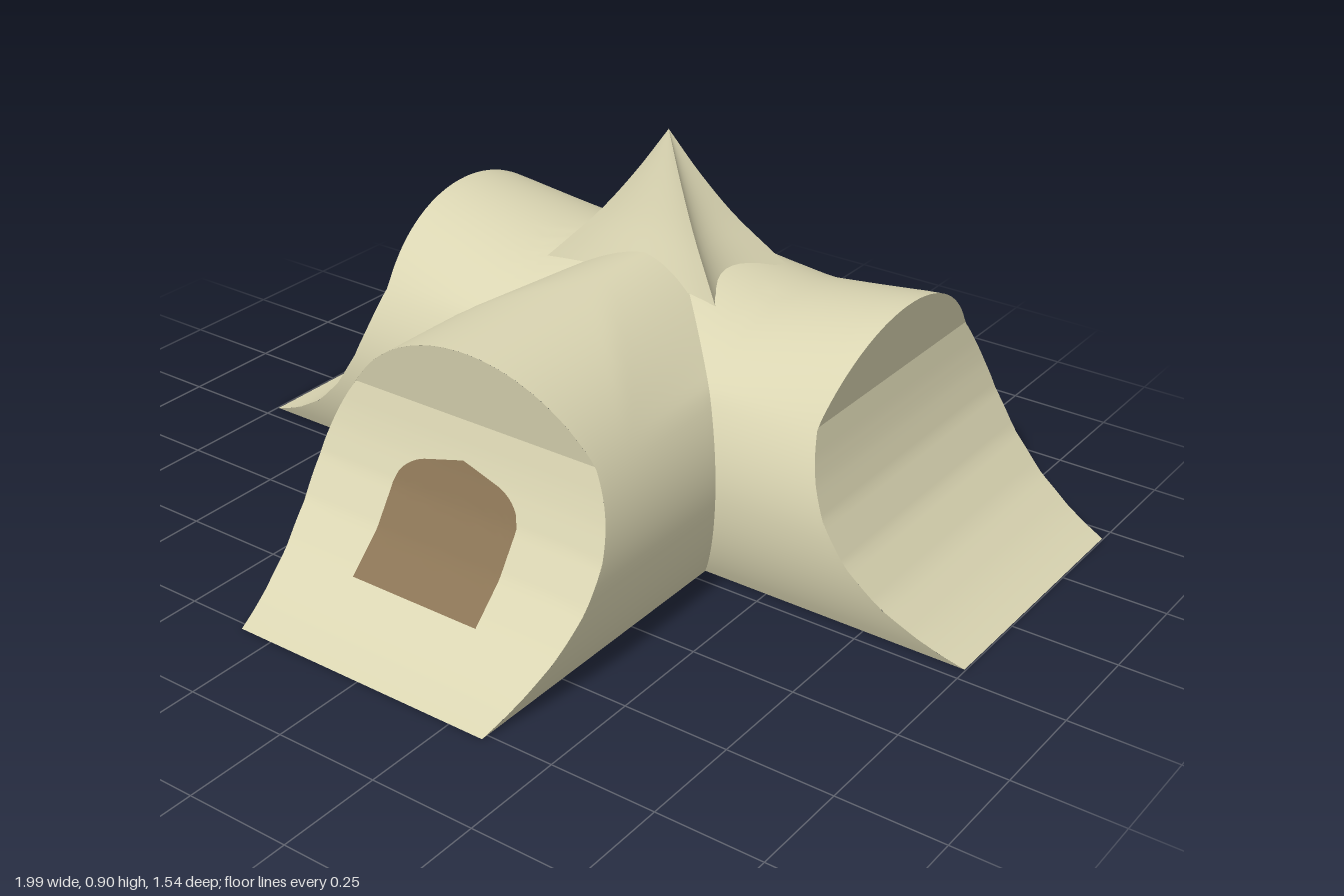
import * as THREE from 'three';

const CZ = -0.375;        // z of the tent's crossing point
const BASE = -0.5495;     // arch angle where the wall meets the ground

// Flared end: distance outward for a height
const FLARE = [[0, 0.767], [0.018, 0.72], [0.045, 0.665], [0.1, 0.577], [0.18, 0.495], [0.27, 0.437],
  [0.34, 0.408], [0.385, 0.393], [0.45, 0.375], [0.625, 0.4]];
function flare(y) {
  for (let i = 1; i < FLARE.length; i++) {
    const [y0, d0] = FLARE[i - 1], [y1, d1] = FLARE[i];
    if (y <= y1) return d0 + (d1 - d0) * (y - y0) / (y1 - y0);
  }
  return 0.4;
}

// Arch cross-section: half width for a height
function halfWidth(y) {
  const k = (y - 0.235) / (y < 0.235 ? 0.45 : 0.39);
  return 0.395 * Math.sqrt(Math.max(0, 1 - k * k));
}

// Fabric of the cross tunnel sags a little between the crossing and its ends
function sag([x, y, z]) {
  const ax = Math.abs(x);
  const dip = ax < 0.3 ? ax / 0.3 : Math.max(0, 1 - (ax - 0.3) / 0.315);
  const fade = THREE.MathUtils.clamp(1 - (z - CZ - ax) / 0.3, 0, 1);
  return [x, y - 0.055 * dip * fade * Math.max(0, (y - 0.45) / 0.175), z];
}

// Grid surface from a rule f(s, t), both running 0..1
function sheet(name, f, ns, nt, material) {
  const pos = [], index = [];
  for (let j = 0; j <= nt; j++) {
    for (let i = 0; i <= ns; i++) pos.push(...f(i / ns, j / nt));
  }
  for (let j = 0; j < nt; j++) {
    for (let i = 0; i < ns; i++) {
      const a = j * (ns + 1) + i, b = a + ns + 1;
      index.push(a, a + 1, b, a + 1, b + 1, b);
    }
  }
  const g = new THREE.BufferGeometry();
  g.setAttribute('position', new THREE.Float32BufferAttribute(pos, 3));
  g.setIndex(index);
  g.computeVertexNormals();
  const mesh = new THREE.Mesh(g, material);
  mesh.name = name;
  return mesh;
}

export function createModel() {
  const canvas = new THREE.MeshStandardMaterial({ color: 0xdad5b2, side: THREE.DoubleSide });
  canvas.name = 'canvas';
  const brown = new THREE.MeshStandardMaterial({ color: 0x8a7455, side: THREE.DoubleSide });
  brown.name = 'brown door';
  const tent = new THREE.Group();
  tent.name = 'tent';

  // Three tunnels: place(u across, y, d outward), where each starts, how far its end is shifted
  const arms = [
    { name: 'front', shift: 0.375, start: u => Math.abs(u), place: (u, y, d) => [u, y, d + CZ] },
    { name: 'left', shift: 0.23, start: u => Math.max(0, -u), place: (u, y, d) => [d, y, CZ - u] },
    { name: 'right', shift: 0.23, start: u => Math.max(0, u), place: (u, y, d) => [-d, y, CZ + u] },
  ];
  for (const { name, shift, start, place } of arms) {
    const arm = new THREE.Group();
    arm.name = name + 'Tunnel';

    // Arched wall from the crossing to the flared end
    arm.add(sheet(name + 'Wall', (s, t) => {
      const a = BASE + s * (Math.PI - 2 * BASE);
      const y = Math.max(0, 0.235 + Math.sin(a) * (a < 0 || a > Math.PI ? 0.45 : 0.39));
      const u = 0.395 * Math.cos(a), d0 = start(u);
      return sag(place(u, y, d0 + (flare(y) + shift - d0) * t));
    }, 72, 16, canvas));

    // Sloping end panel and the overhanging panel above it
    const end = y0 => (s, t) => {
      const y = y0 ? 0.45 + 0.175 * Math.sin(t * Math.PI / 2) : 0.45 * t;
      return place((2 * s - 1) * halfWidth(y), y, flare(y) + shift);
    };
    arm.add(sheet(name + 'EndPanel', end(0), 8, 30, canvas));
    arm.add(sheet(name + 'EndOverhang', end(1), 8, 12, canvas));
    tent.add(arm);
  }

  // Door lying on the front end panel
  tent.add(sheet('door', (s, t) => {
    const x = 0.172 * (2 * s - 1), ax = Math.abs(x);
    const k = Math.max(0, (ax - 0.1) / 0.072);
    const top = 0.367 - 0.25 * ax - 0.05 * (1 - Math.sqrt(Math.max(0, 1 - k * k)));
    const y = 0.1 + t * (top - 0.1);
    return [x, y + 0.003, flare(y) + 0.006];
  }, 40, 16, brown));

  // Peaked cap: four hollow-edged faces rising to a point
  const cap = new THREE.Group();
  cap.name = 'cap';
  const SPREAD = [[1, 0.575], [0.83, 0.62], [0.54, 0.7], [0.25, 0.8], [0, 0.9]];
  const ridge = new THREE.CatmullRomCurve3(SPREAD.map(([r, y]) => new THREE.Vector3(r, y, 0)));
  for (let k = 0; k < 4; k++) {
    const c = Math.round(Math.cos(k * Math.PI / 2)), n = Math.round(Math.sin(k * Math.PI / 2));
    cap.add(sheet('capFace', (s, t) => {
      const p = ridge.getPoint(t), v = 2 * s - 1;
      const out = p.x * (1 - 0.25 * (1 - v * v)), side = p.x * v;
      return [0.237 * (side * c + out * n), p.y, -0.348 + 0.148 * (out * c - side * n)];
    }, 12, 14, canvas));
  }
  tent.add(cap);
  return tent;
}
